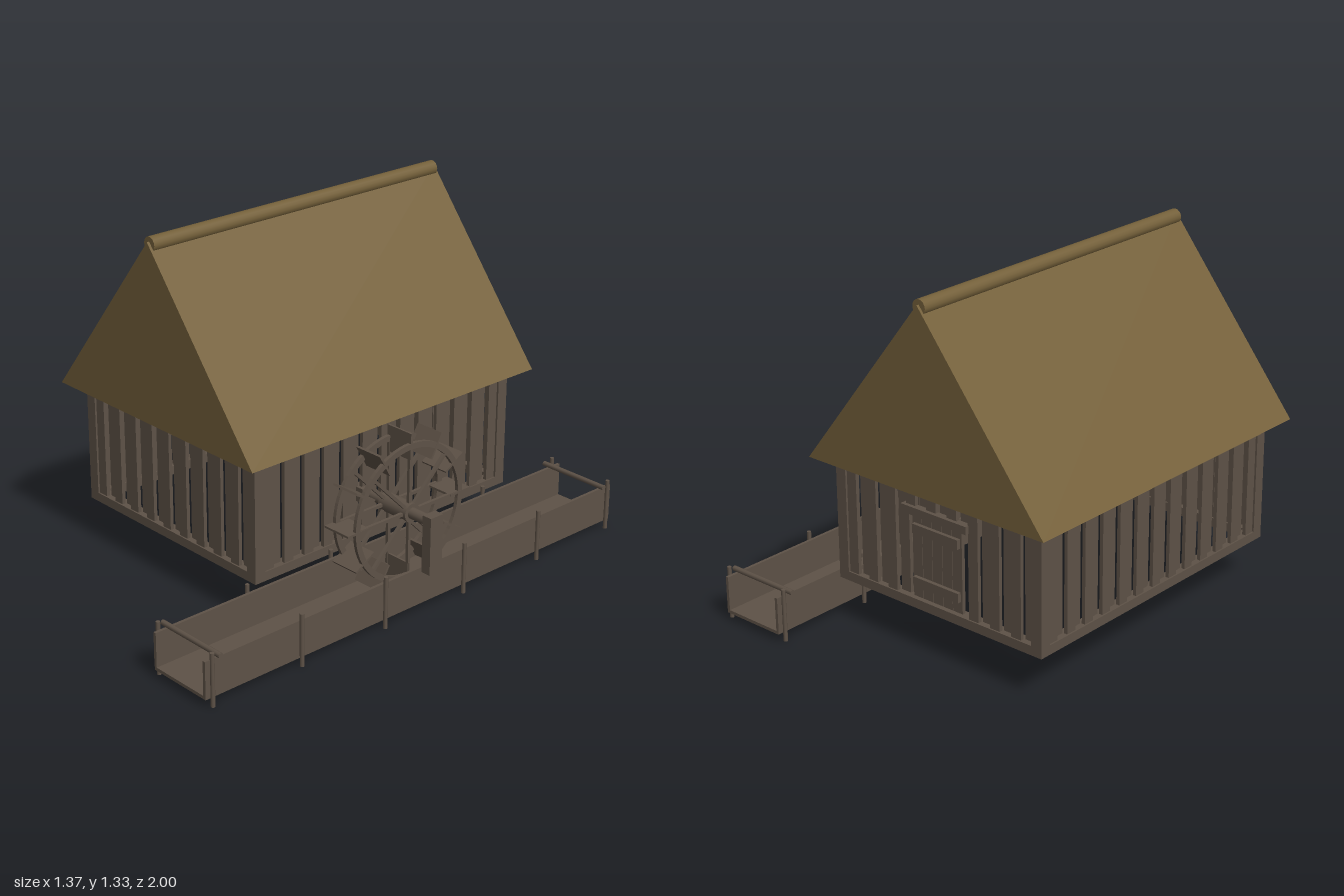
import * as THREE from 'three';

export function createModel() {
  const model = new THREE.Group();
  model.name = 'watermill';
  const mat = (name, color) => {
    const m = new THREE.MeshStandardMaterial({ color, flatShading: false });
    m.name = name;
    return m;
  };
  const wood = mat('weathered wood', 0x5e5247);
  const thatch = mat('thatch', 0x74603a);

  const group = (name, parent = model) => {
    const g = new THREE.Group();
    g.name = name;
    parent.add(g);
    return g;
  };
  const add = (parent, name, geo, x = 0, y = 0, z = 0, m = wood) => {
    const mesh = new THREE.Mesh(geo, m);
    mesh.name = name;
    mesh.position.set(x, y, z);
    parent.add(mesh);
    return mesh;
  };
  // Box given by its lower and upper corners
  const box = (parent, name, x0, x1, y0, y1, z0, z1) =>
    add(parent, name, new THREE.BoxGeometry(x1 - x0, y1 - y0, z1 - z0),
      (x0 + x1) / 2, (y0 + y1) / 2, (z0 + z1) / 2);
  // Round bar along x
  const barX = (parent, name, r, x0, x1, y, z, sides = 16) => {
    const mesh = add(parent, name, new THREE.CylinderGeometry(r, r, x1 - x0, sides), (x0 + x1) / 2, y, z);
    mesh.rotation.z = Math.PI / 2;
    return mesh;
  };

  // ---- House frame: sills, top plates and corner posts, open underneath
  const house = group('house');
  const X0 = -0.62, X1 = 0.325, Z0 = -0.725, Z1 = 0.525, B = 0.045;
  for (const [name, y0, y1] of [['sill', 0.165, 0.2], ['topPlate', 0.603, 0.636]]) {
    for (const x of [X0, X1 - B]) box(house, name, x, x + B, y0, y1, Z0, Z1);
    for (const z of [Z0, Z1 - B]) box(house, name, X0 + B, X1 - B, y0, y1, z, z + B);
  }
  for (const x of [X0, X1 - B]) {
    for (const z of [Z0, Z1 - B]) box(house, 'cornerPost', x, x + B, 0.2, 0.603, z, z + B);
  }

  // ---- Plank walls: alternate planks sit deeper, with narrow gaps
  const doorL = -0.27, doorR = -0.02, doorTop = 0.53;
  const wall = (name, length, cx, cz, turn, count, hasDoor) => {
    const w = group(name, house);
    w.position.set(cx, 0, cz);
    w.rotation.y = turn;
    const step = length / count;
    for (let i = 0; i < count; i++) {
      const c = -length / 2 + step * (i + 0.5);
      const depth = i % 2 ? -0.024 : -0.006;
      const worldX = cx - c;
      const y0 = hasDoor && worldX > doorL && worldX < doorR ? doorTop : 0.2;
      box(w, 'plank', c - step / 2 + 0.002, c + step / 2 - 0.002, y0, 0.603, depth - 0.014, depth);
    }
  };
  const mx = (X0 + X1) / 2, mz = (Z0 + Z1) / 2;
  const lx = X1 - X0 - 2 * B, lz = Z1 - Z0 - 2 * B;
  wall('frontWall', lx, mx, Z1, 0, 18, false);
  wall('backWall', lx, mx, Z0, Math.PI, 18, true);
  wall('leftWall', lz, X1, mz, Math.PI / 2, 25, false);
  wall('rightWall', lz, X0, mz, -Math.PI / 2, 25, false);

  // ---- Back door with lintel and cross battens
  const door = group('door', house);
  for (let i = 0; i < 5; i++) {
    const x = doorL + 0.012 + i * 0.046;
    box(door, 'doorPlank', x, x + 0.044, 0.205, 0.52, Z0 + 0.012, Z0 + 0.026);
  }
  for (const y of [0.25, 0.45]) box(door, 'doorBatten', -0.25, -0.04, y, y + 0.035, Z0 - 0.002, Z0 + 0.012);
  box(door, 'lintel', -0.295, 0.005, 0.52, 0.55, Z0 - 0.008, Z0 + 0.02);

  // ---- Thatched roof: closed triangular prism with a ridge roll
  const roof = group('roof');
  const gable = new THREE.Shape();
  gable.moveTo(-0.685, 0.633);
  gable.lineTo(0.39, 0.633);
  gable.lineTo(mx, 1.31);
  gable.closePath();
  add(roof, 'thatchRoof', new THREE.ExtrudeGeometry(gable, { depth: 1.38, bevelEnabled: false }), 0, 0, -0.79, thatch);
  const ridge = add(roof, 'ridgeRoll', new THREE.CylinderGeometry(0.028, 0.028, 1.36, 16), mx, 1.3, -0.1, thatch);
  ridge.rotation.x = Math.PI / 2;

  // ---- Water wheel: two rims, spokes, twelve paddles
  const wheel = group('waterWheel');
  wheel.position.set(0.491, 0.355, 0);
  const rimShape = new THREE.Shape().absarc(0, 0, 0.262, 0, Math.PI * 2, false);
  rimShape.holes.push(new THREE.Path().absarc(0, 0, 0.24, 0, Math.PI * 2, true));
  const rimGeo = new THREE.ExtrudeGeometry(rimShape, { depth: 0.014, bevelEnabled: false, curveSegments: 32 });
  rimGeo.translate(0, 0, -0.007).rotateY(Math.PI / 2);
  for (const x of [-0.051, 0.051]) {
    add(wheel, 'rim', rimGeo, x);
    for (let i = 0; i < 4; i++) {
      add(wheel, 'spokePair', new THREE.BoxGeometry(0.012, 0.49, 0.012), x).rotation.x = i * Math.PI / 4;
    }
  }
  for (let i = 0; i < 12; i++) {
    const arm = group('paddleArm', wheel);
    arm.rotation.x = i * Math.PI / 6;
    add(arm, 'paddle', new THREE.BoxGeometry(0.118, 0.1, 0.008), 0, 0.25);
  }
  barX(wheel, 'hub', 0.036, -0.068, 0.068, 0, 0);

  // ---- Axle with bearings on the wall and on the outer post
  const axle = group('axle');
  barX(axle, 'shaft', 0.021, 0.28, 0.645, 0.355, 0);
  box(axle, 'wallBearing', 0.278, 0.336, 0.32, 0.376, -0.028, 0.028);
  box(axle, 'bearingPost', 0.64, 0.68, 0.165, 0.385, -0.03, 0.03);

  // ---- Flume: open channel with stakes and end crossbars
  const flume = group('flume');
  box(flume, 'flumeFloor', 0.36, 0.625, 0.03, 0.042, -1, 1);
  box(flume, 'flumeSide', 0.358, 0.37, 0.042, 0.172, -1, 1);
  box(flume, 'flumeSide', 0.613, 0.625, 0.042, 0.172, -1, 1);
  for (const x of [0.351, 0.632]) {
    for (let i = 0; i < 6; i++) {
      add(flume, 'stake', new THREE.CylinderGeometry(0.008, 0.008, 0.2, 8), x, 0.1, -0.975 + i * 0.39);
    }
  }
  for (const z of [-0.945, 0.945]) barX(flume, 'crossbar', 0.01, 0.338, 0.64, 0.181, z, 8);

  return model;
}
